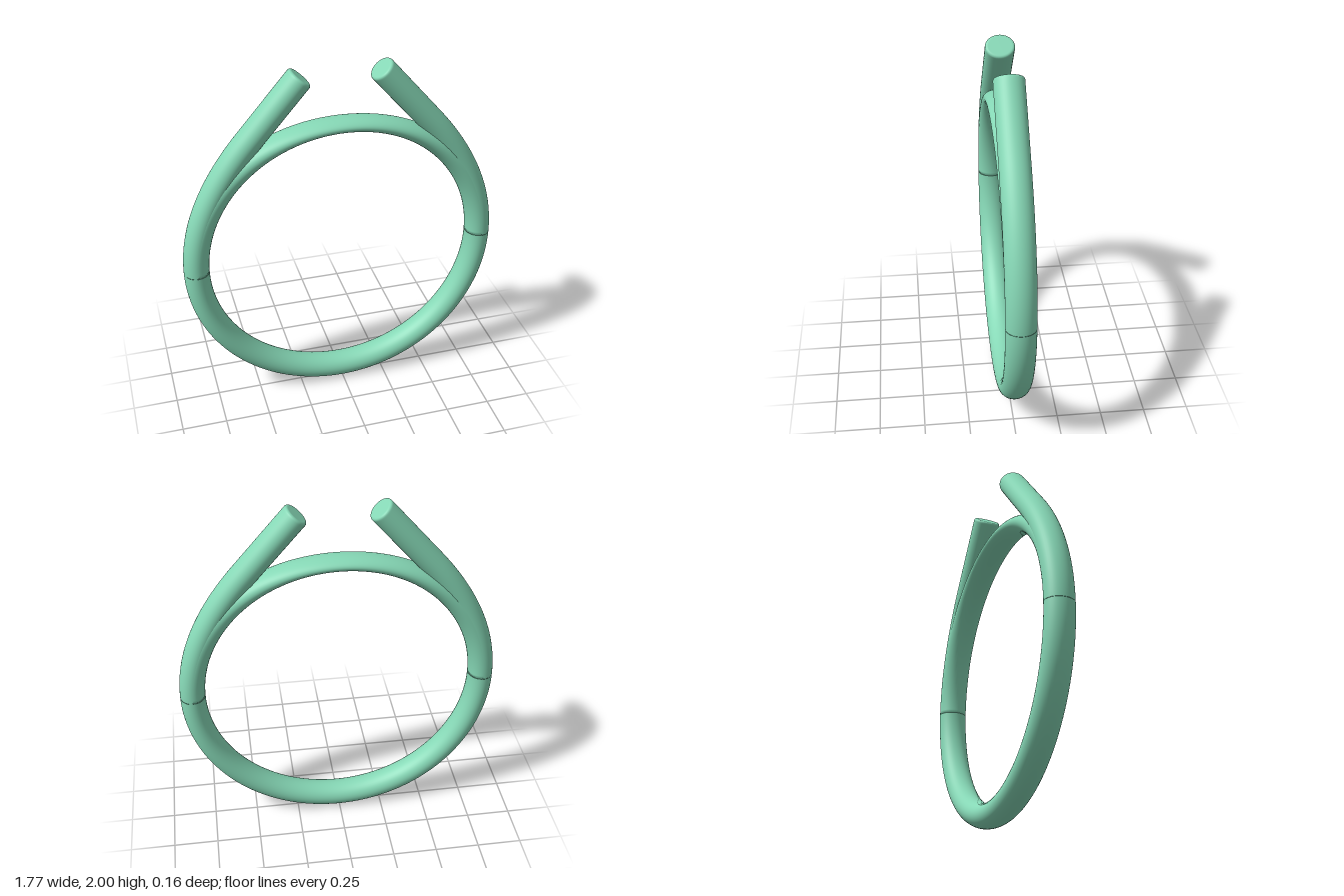
import * as THREE from 'three';

const CY = 0.885;      // height of the ring centre
const INNER = 0.745;   // inner radius of the ring
const HALF_W = 0.07;   // half thickness in the ring plane
const HALF_D = 0.08;   // half depth along z
const SIDES = 40;

// Lofts elliptical sections { p, t, rx, rz } along a path in the xy plane, capping both ends.
function loft(sections) {
  const pos = [], idx = [];
  for (const { p, t, rx, rz } of sections) {
    for (let j = 0; j < SIDES; j++) {
      const a = (j / SIDES) * Math.PI * 2;
      const r = Math.cos(a) * rx;
      pos.push(p.x - t.y * r, p.y + t.x * r, Math.sin(a) * rz);
    }
  }
  const n = sections.length;
  for (let i = 0; i < n - 1; i++) {
    for (let j = 0; j < SIDES; j++) {
      const k = (j + 1) % SIDES;
      const a = i * SIDES + j, b = i * SIDES + k;
      idx.push(a, b, b + SIDES, a, b + SIDES, a + SIDES);
    }
  }
  const first = sections[0].p, last = sections[n - 1].p;
  const c0 = n * SIDES, c1 = c0 + 1, base = (n - 1) * SIDES;
  pos.push(first.x, first.y, 0, last.x, last.y, 0);
  for (let j = 0; j < SIDES; j++) {
    const k = (j + 1) % SIDES;
    idx.push(c0, k, j, c1, base + j, base + k);
  }
  const g = new THREE.BufferGeometry();
  g.setAttribute('position', new THREE.Float32BufferAttribute(pos, 3));
  g.setIndex(idx);
  g.computeVertexNormals();
  return g;
}

// Open hoop: straight arm, bend, lower half circle, bend, straight arm
function hoopGeometry() {
  const R = INNER + HALF_W;
  const path = new THREE.Path();
  path.moveTo(-0.212, 1.957);
  path.lineTo(-0.5, 1.626);
  path.quadraticCurveTo(-R, 1.263, -R, CY);
  path.absarc(0, CY, R, Math.PI, Math.PI * 2, false);
  path.quadraticCurveTo(R, 1.263, 0.5, 1.626);
  path.lineTo(0.212, 1.957);
  const length = path.getLength();

  // Rounded rim at each end: [distance from the end, inset of the section]
  const b = 0.014;
  const rim = [[0, b + 0.004], [0, b]];
  for (let i = 1; i <= 5; i++) {
    const a = (i / 5) * Math.PI / 2;
    rim.push([b * (1 - Math.cos(a)), b * (1 - Math.sin(a))]);
  }
  const stations = rim.map(([d, inset]) => [d / length, inset]);
  const N = 220, u0 = (b + 0.006) / length;
  for (let i = 0; i <= N; i++) stations.push([u0 + (1 - 2 * u0) * i / N, 0]);
  for (const [d, inset] of [...rim].reverse()) stations.push([1 - d / length, inset]);

  return loft(stations.map(([u, inset]) => ({
    p: path.getPoint(u), t: path.getTangent(u),
    rx: HALF_W - inset, rz: HALF_D - inset,
  })));
}

// Upper arc: constant inner radius, thinning towards the top
function bridgeGeometry() {
  const sections = [], N = 110;
  for (let i = 0; i <= N; i++) {
    const a = (i / N) * Math.PI;
    const fromTop = Math.abs(a - Math.PI / 2);
    const half = 0.0375 + (HALF_W - 0.0375) * THREE.MathUtils.smoothstep(fromTop, 0, 1.22);
    const r = INNER + half;
    sections.push({
      p: new THREE.Vector2(Math.cos(a) * r, CY + Math.sin(a) * r),
      t: new THREE.Vector2(-Math.sin(a), Math.cos(a)),
      rx: half, rz: HALF_D,
    });
  }
  return loft(sections);
}

export function createModel() {
  const group = new THREE.Group();
  group.name = 'ring';
  const material = new THREE.MeshStandardMaterial({ color: 0x86d8b6 });
  const hoop = new THREE.Mesh(hoopGeometry(), material);
  hoop.name = 'hoopWithArms';
  const bridge = new THREE.Mesh(bridgeGeometry(), material);
  bridge.name = 'upperArc';
  group.add(hoop, bridge);
  return group;
}
